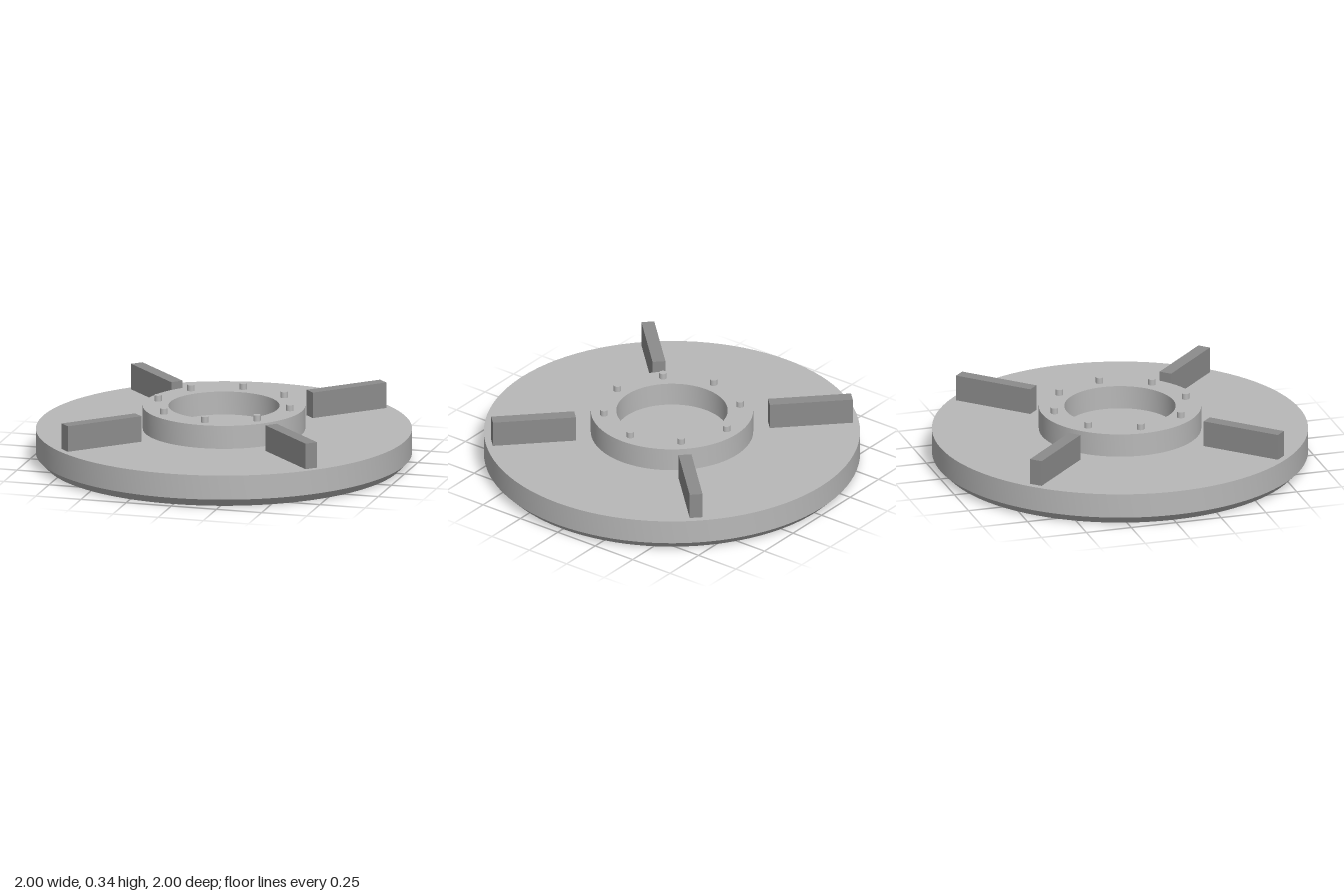
import * as THREE from 'three';
import { toCreasedNormals } from 'three/addons/utils/BufferGeometryUtils.js';

const DISC_TOP = 0.177;
const RING_TOP = 0.303;

export function createModel() {
  const model = new THREE.Group();
  model.name = 'flangedDisc';

  const lightGrey = new THREE.MeshStandardMaterial({ color: 0xb8b8b8 });
  lightGrey.name = 'light grey metal';
  const darkGrey = new THREE.MeshStandardMaterial({ color: 0x8c8c8c });
  darkGrey.name = 'dark grey metal';

  const add = (name, geometry, material, parent = model) => {
    const mesh = new THREE.Mesh(geometry, material);
    mesh.name = name;
    parent.add(mesh);
    return mesh;
  };

  // Turned body: grooved underside, chamfered rim, raised ring with a central well
  const profile = [
    [0, 0], [0.296, 0], [0.296, 0.018], [0.432, 0.018], [0.432, 0],
    [0.955, 0], [1, 0.045], [1, DISC_TOP],
    [0.432, DISC_TOP], [0.432, RING_TOP], [0.296, RING_TOP], [0.296, DISC_TOP], [0, DISC_TOP],
  ].map(([r, y]) => new THREE.Vector2(r, y));
  add('body', toCreasedNormals(new THREE.LatheGeometry(profile, 96), 0.5), lightGrey);

  // Eight pins on the ring
  const pins = new THREE.Group();
  pins.name = 'pins';
  model.add(pins);
  const pinGeometry = new THREE.CylinderGeometry(0.02, 0.02, 0.034, 24);
  for (let i = 0; i < 8; i++) {
    const a = (i * Math.PI) / 4;
    add('pin', pinGeometry, lightGrey, pins)
      .position.set(0.365 * Math.cos(a), RING_TOP + 0.015, 0.365 * Math.sin(a));
  }

  // Four diagonal fins around the ring
  const fins = new THREE.Group();
  fins.name = 'fins';
  model.add(fins);
  const finGeometry = new THREE.BoxGeometry(0.445, 0.142, 0.069);
  finGeometry.translate(0.7425, DISC_TOP + 0.069, 0);
  for (let i = 0; i < 4; i++) {
    add('fin', finGeometry, darkGrey, fins).rotation.y = Math.PI / 4 + (i * Math.PI) / 2;
  }

  return model;
}
